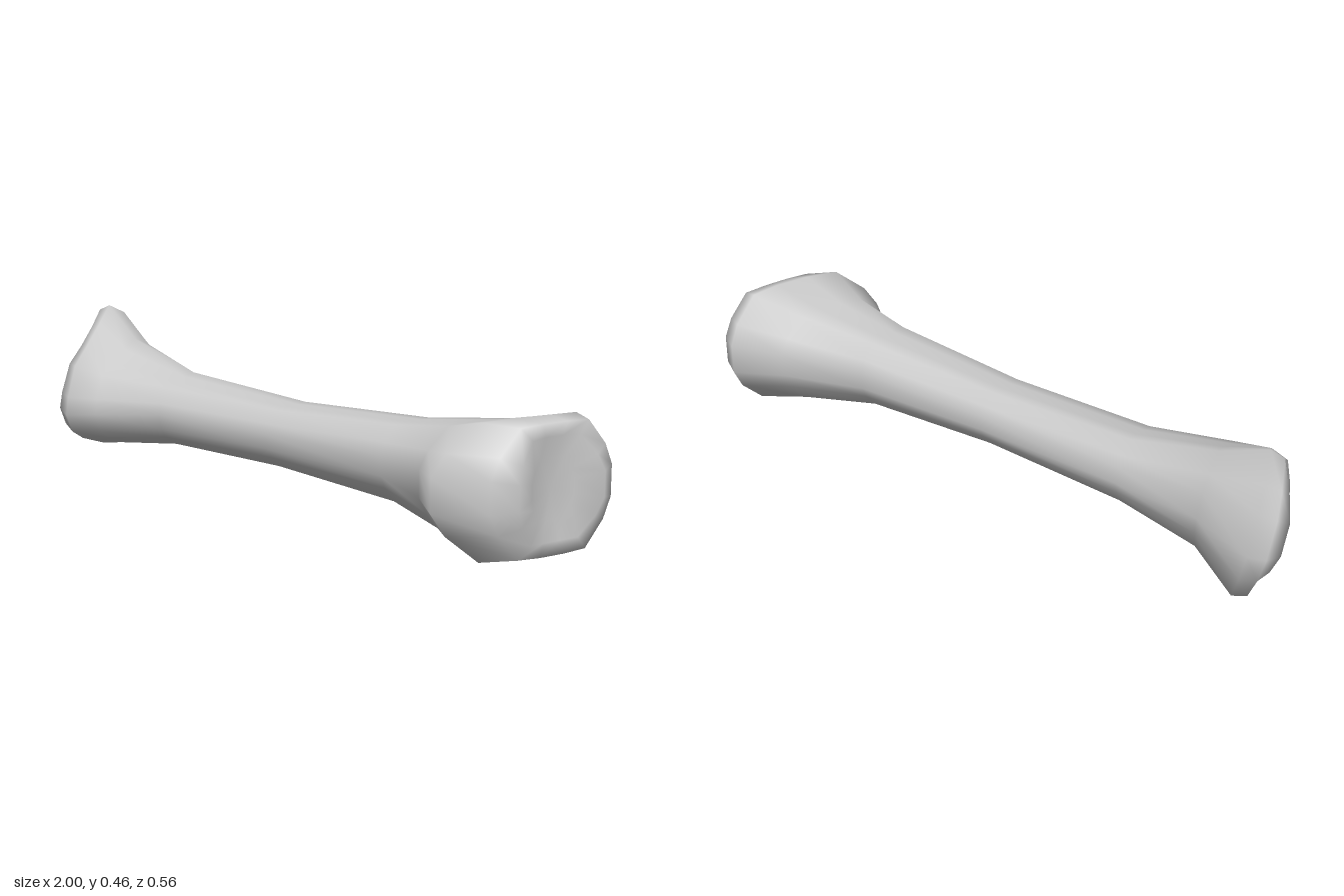
import * as THREE from 'three';

// One quarter of the bevelled section: u runs back to front, v runs up
const quarter = [[1, 0.25], [0.87, 0.58], [0.56, 0.98], [0.2, 1]];
const section = [
  ...quarter,
  ...quarter.map(([u, v]) => [-u, v]).reverse(),
  ...quarter.map(([u, v]) => [-u, -v]),
  ...quarter.map(([u, v]) => [u, -v]).reverse(),
];

// Rings from the right end to the left end:
// x, tilt and bow of the ring in x | centre y, z | half sizes u, v | twist in degrees | taper to the front
const rings = [
  // right joint: grooved end face, then its rim
  [-0.835, 0.05, -0.02, 0.235, -0.04, 0.085, 0.08, 22, 0.25],
  [-0.85, 0.085, -0.065, 0.235, -0.04, 0.165, 0.135, 22, 0.28],
  [-0.86, 0.09, -0.04, 0.235, -0.04, 0.22, 0.16, 22, 0.3],
  [-0.82, 0.105, -0.025, 0.235, -0.038, 0.25, 0.17, 22, 0.3],
  // shaft
  [-0.68, 0.06, 0, 0.222, 0, 0.188, 0.127, 20, 0.1],
  [-0.42, 0.02, 0, 0.207, 0.003, 0.12, 0.092, 12, 0],
  [0.05, 0, 0, 0.198, 0.02, 0.105, 0.083, 4, 0],
  [0.5, 0, 0, 0.196, 0.028, 0.123, 0.105, 0, 0],
  [0.73, -0.05, -0.01, 0.187, 0.02, 0.18, 0.143, 0, 0],
  // left joint: rim, then the grooved end face
  [0.895, -0.075, -0.05, 0.184, 0.026, 0.248, 0.181, 0, 0],
  [0.945, -0.045, -0.005, 0.184, 0.005, 0.19, 0.17, 0, 0],
  [0.94, -0.0275, 0.0325, 0.184, 0.005, 0.14, 0.135, 0, 0],
  [0.935, -0.014, 0.008, 0.184, 0.005, 0.07, 0.08, 0, 0],
];

function boneGeometry() {
  const n = section.length;
  const positions = [];
  const index = [];
  for (const [x, tilt, bow, cy, cz, hu, hv, twist, taper] of rings) {
    const a = THREE.MathUtils.degToRad(twist);
    for (const [u, v] of section) {
      const pu = u * hu;
      const pv = v * hv * (1 - taper * u);
      positions.push(
        x + tilt * u + bow * u * u,
        cy - pu * Math.sin(a) + pv * Math.cos(a),
        cz + pu * Math.cos(a) + pv * Math.sin(a),
      );
    }
  }
  // centre points closing the two end faces
  const start = rings.length * n;
  const end = start + 1;
  positions.push(-0.83, 0.235, -0.04, 0.934, 0.184, 0.005);

  const last = (rings.length - 1) * n;
  for (let j = 0; j < n; j++) {
    const k = (j + 1) % n;
    for (let r = 0; r < last; r += n) {
      index.push(r + j, r + n + j, r + k, r + k, r + n + j, r + n + k);
    }
    index.push(start, j, k, end, last + k, last + j);
  }
  const geometry = new THREE.BufferGeometry();
  geometry.setAttribute('position', new THREE.Float32BufferAttribute(positions, 3));
  geometry.setIndex(index);
  geometry.computeVertexNormals();
  return geometry;
}

export function createModel() {
  const group = new THREE.Group();
  group.name = 'longBone';
  const bone = new THREE.Mesh(boneGeometry(), new THREE.MeshStandardMaterial({ color: 0xcccccc }));
  bone.name = 'bone';
  group.add(bone);
  return group;
}
